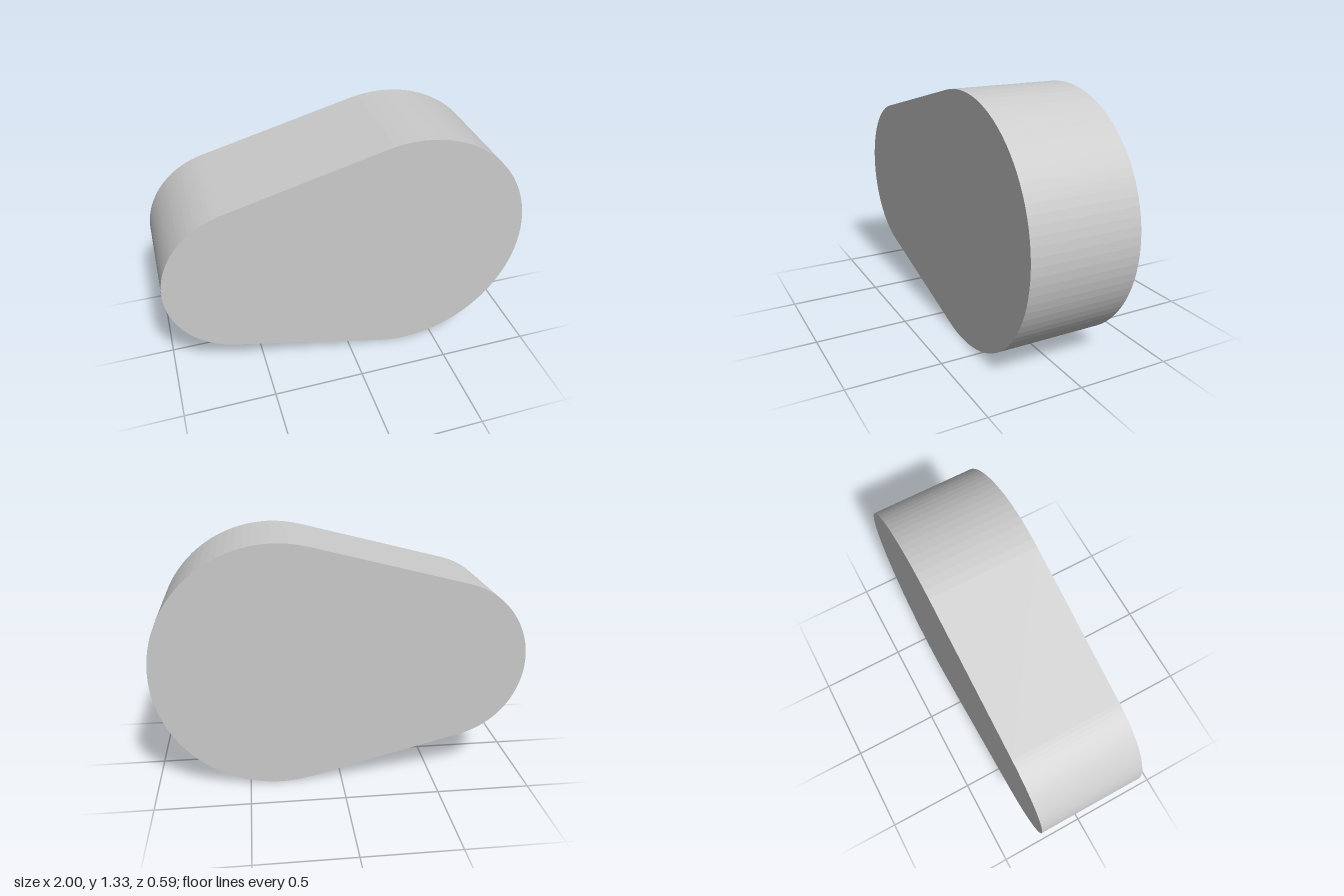
import * as THREE from 'three';

export function createModel() {
  const bigR = 0.667, smallR = 0.444, depth = 0.593;
  const bigX = 1 - bigR, smallX = -1 + smallR;

  // Angle at which the straight flanks touch both round ends
  const tangent = Math.acos((smallR - bigR) / (bigX - smallX));
  const a = Math.PI - tangent;

  // Tapered outline: large round end, small round end, straight flanks between
  const outline = new THREE.Shape();
  outline.absarc(bigX, bigR, bigR, a - Math.PI, Math.PI - a, false);
  outline.absarc(smallX, bigR, smallR, Math.PI - a, Math.PI + a, false);
  outline.closePath();

  const geometry = new THREE.ExtrudeGeometry(outline, {
    depth, bevelEnabled: false, curveSegments: 26,
  });
  geometry.translate(0, 0, -depth / 2);

  const body = new THREE.Mesh(
    geometry,
    new THREE.MeshStandardMaterial({ color: 0xcccccc, flatShading: true }),
  );
  body.name = 'taperedBody';

  const model = new THREE.Group();
  model.name = 'taperedBlock';
  model.add(body);
  return model;
}
